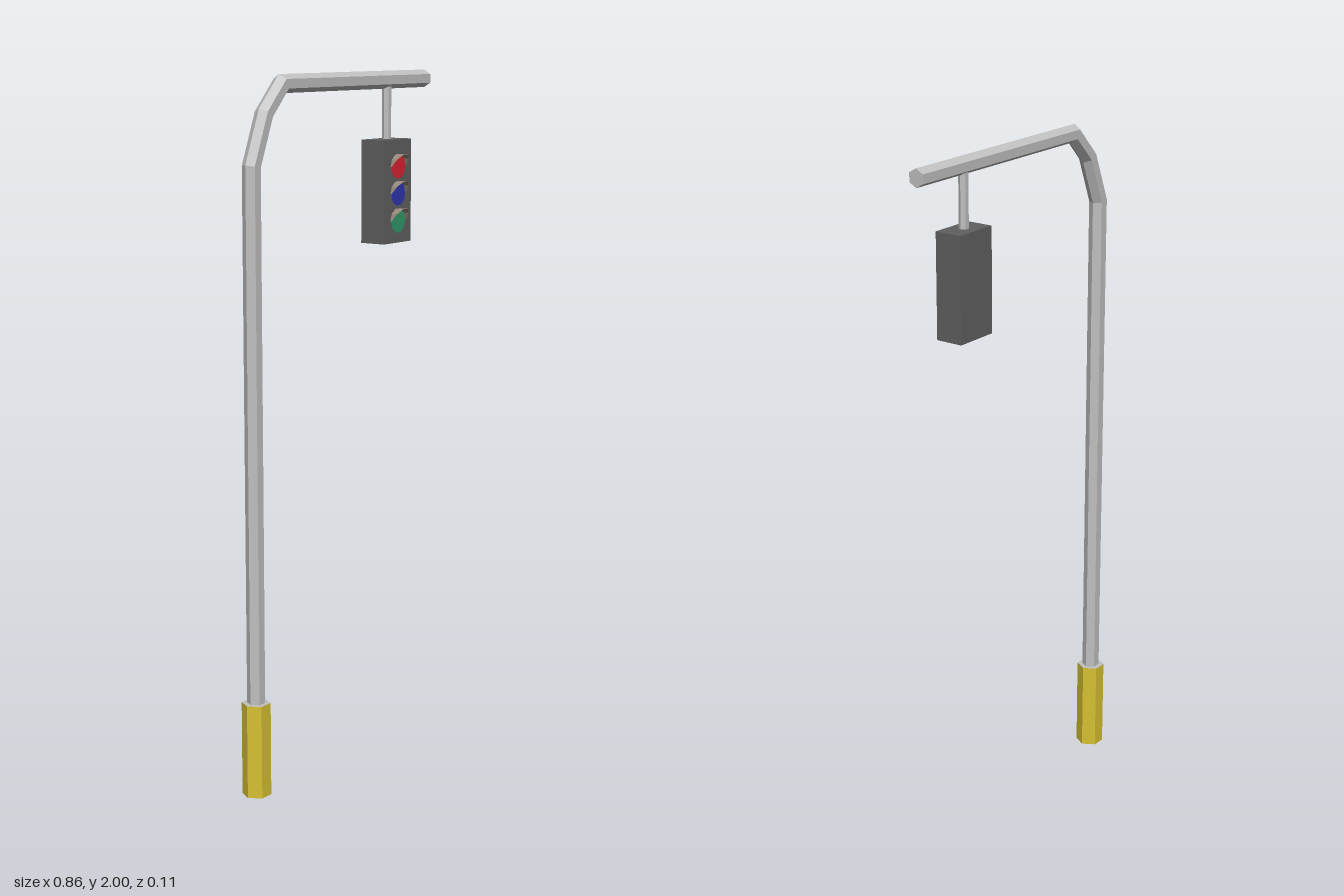
import * as THREE from 'three';

const paint = (name, color, extra = {}) => {
  const m = new THREE.MeshStandardMaterial({ color, flatShading: true, ...extra });
  m.name = name;
  return m;
};

// Mitred hexagonal tube along a path in the XY plane, capped at both ends
function hexTube(path, r, z) {
  const dirs = path.slice(1).map((p, i) => p.clone().sub(path[i]).normalize());
  const rings = path.map((p, i) => {
    const a = dirs[Math.max(i - 1, 0)], b = dirs[Math.min(i, dirs.length - 1)];
    const t = a.clone().add(b).normalize();
    const normal = new THREE.Vector2(-t.y, t.x).divideScalar(t.dot(a));
    return Array.from({ length: 6 }, (_, k) => {
      const u = r * Math.cos(k * Math.PI / 3), w = r * Math.sin(k * Math.PI / 3);
      return [p.x + normal.x * u, p.y + normal.y * u, z + w];
    });
  });
  const out = [];
  const tri = (a, b, c) => out.push(...a, ...b, ...c);
  for (let i = 0; i < rings.length - 1; i++) {
    for (let k = 0; k < 6; k++) {
      const n = (k + 1) % 6;
      const a = rings[i][k], b = rings[i][n], c = rings[i + 1][n], d = rings[i + 1][k];
      tri(a, c, b);
      tri(a, d, c);
    }
  }
  const first = rings[0], last = rings[rings.length - 1];
  for (let k = 1; k < 5; k++) {
    tri(first[0], first[k], first[k + 1]);
    tri(last[0], last[k + 1], last[k]);
  }
  const g = new THREE.BufferGeometry();
  g.setAttribute('position', new THREE.Float32BufferAttribute(out, 3));
  // Turn the faces outward if the winding came out reversed
  const mid = path[0];
  const v = (i) => new THREE.Vector3(...out.slice(i * 3, i * 3 + 3));
  const n = v(1).sub(v(0)).cross(v(2).sub(v(0)));
  const outward = v(0).add(v(1)).add(v(2)).divideScalar(3).sub(new THREE.Vector3(mid.x, mid.y, z));
  outward.y = 0;
  if (n.dot(outward) < 0) {
    for (let i = 0; i < out.length; i += 9) {
      for (let j = 0; j < 3; j++) [out[i + 3 + j], out[i + 6 + j]] = [out[i + 6 + j], out[i + 3 + j]];
    }
    g.setAttribute('position', new THREE.Float32BufferAttribute(out, 3));
  }
  g.computeVertexNormals();
  return g;
}

// Half-round visor, long at the top and short at the sides
function visor(r) {
  const out = [];
  const point = (k, front) => {
    const a = k * Math.PI / 5;
    return [r * Math.cos(a), r * Math.sin(a), front ? 0.004 + 0.024 * Math.sin(a) / 0.951 : 0];
  };
  for (let k = 0; k < 5; k++) {
    const a = point(k, false), b = point(k, true), c = point(k + 1, true), d = point(k + 1, false);
    out.push(...a, ...c, ...b, ...a, ...d, ...c);
  }
  // Reverse each triangle so the outer side is the front
  const flipped = [];
  for (let i = 0; i < out.length; i += 9) {
    flipped.push(...out.slice(i, i + 3), ...out.slice(i + 6, i + 9), ...out.slice(i + 3, i + 6));
  }
  const g = new THREE.BufferGeometry();
  g.setAttribute('position', new THREE.Float32BufferAttribute(flipped, 3));
  g.computeVertexNormals();
  return g;
}

export function createModel() {
  const model = new THREE.Group();
  model.name = 'trafficLight';
  const grey = paint('poleGrey', 0xc0c0c0);
  const yellow = paint('baseYellow', 0xd6c132);
  const dark = paint('housingGrey', 0x606060);
  const tan = paint('visorTan', 0x96897a, { side: THREE.DoubleSide });
  const lamps = [
    ['redLamp', paint('lampRed', 0xdc2232), 1.728],
    ['blueLamp', paint('lampBlue', 0x2f36b0), 1.65],
    ['greenLamp', paint('lampGreen', 0x2f9a68), 1.571],
  ];
  const add = (name, geometry, material, x, y, z) => {
    const mesh = new THREE.Mesh(geometry, material);
    mesh.name = name;
    mesh.position.set(x, y, z);
    model.add(mesh);
    return mesh;
  };
  const Z = -0.0155, poleX = -0.392, headX = 0.236, faceZ = 0.025;

  // Base sleeve with a grey top
  add('base', new THREE.CylinderGeometry(0.041, 0.041, 0.27, 6, 1, false, Math.PI / 6),
    [yellow, grey, yellow], poleX, 0.135, Z);

  // Pole bending over into the arm
  const path = [[poleX, 0.26], [poleX, 1.76], [-0.336, 1.897], [-0.26, 1.9745], [0.43, 1.9745]]
    .map(([x, y]) => new THREE.Vector2(x, y));
  add('poleAndArm', hexTube(path, 0.0255, Z), grey, 0, 0, 0);

  // Hanger and signal housing
  add('hanger', new THREE.CylinderGeometry(0.0135, 0.0135, 0.17, 6, 1, false, Math.PI / 6),
    grey, headX, 1.88, Z);
  add('housing', new THREE.BoxGeometry(0.136, 0.298, 0.081), dark, headX, 1.656, Z);

  // Lamps with their visors
  for (const [name, material, y] of lamps) {
    add(name, new THREE.CircleGeometry(0.036, 10), material, headX, y, faceZ + 0.002);
    add(name + 'Visor', visor(0.037), tan, headX, y, faceZ);
  }
  return model;
}
